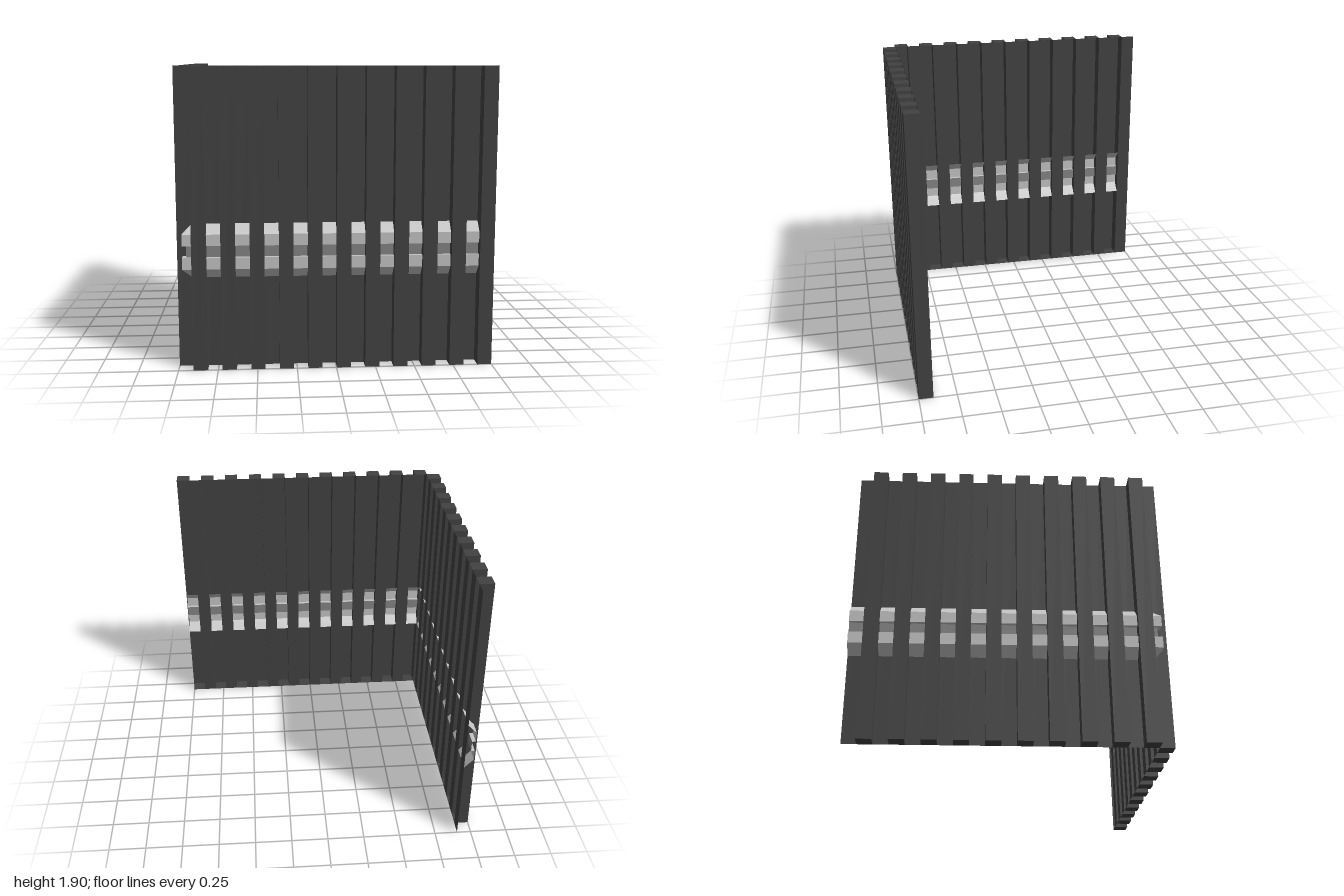
import * as THREE from 'three';

const H = 1.905;      // wall height
const IN = 0.905;     // inner plane of both walls (distance from centre)
const OUT = 1;        // outer plane of the ribs

const steel = new THREE.MeshStandardMaterial({ color: 0x424242, side: THREE.DoubleSide });
steel.name = 'dark sheet';
const light = new THREE.MeshStandardMaterial({ color: 0xc4c4c4, side: THREE.DoubleSide });
light.name = 'light rail';
const grey = new THREE.MeshStandardMaterial({ color: 0x848484, side: THREE.DoubleSide });
grey.name = 'grey channel';

// Flat shaded mesh from a list of four-cornered faces
function quadMesh(name, quads, material) {
  const pos = [];
  for (const [a, b, c, d] of quads) pos.push(...a, ...b, ...c, ...a, ...c, ...d);
  const geo = new THREE.BufferGeometry();
  geo.setAttribute('position', new THREE.Float32BufferAttribute(pos, 3));
  geo.computeVertexNormals();
  const mesh = new THREE.Mesh(geo, material);
  mesh.name = name;
  return mesh;
}

// Ribs of a wall as plan outlines: inner start, outer start, outer end, inner end
function ribOutlines(count, first, step, width, toPlan) {
  return Array.from({ length: count }, (_, i) => {
    const s = first + i * step, e = s + width;
    return [toPlan(s, IN), toPlan(s, OUT), toPlan(e, OUT), toPlan(e, IN)];
  });
}

// Corrugated sheet following the plan path, with closed rib tops and bottoms
function corrugatedWall(name, ribs, start) {
  const at = ([x, z], y) => [x, y, z];
  const path = [...start, ...ribs.flat()];
  const quads = [];
  for (let i = 0; i + 1 < path.length; i++) {
    const a = path[i], b = path[i + 1];
    if (Math.hypot(a[0] - b[0], a[1] - b[1]) < 1e-6) continue;
    quads.push([at(a, 0), at(b, 0), at(b, H), at(a, H)]);
  }
  for (const rib of ribs) {
    quads.push(rib.map(p => at(p, H)));
    quads.push([...rib].reverse().map(p => at(p, 0)));
  }
  return quadMesh(name, quads, steel);
}

// Rail band between two profile points [depth, y], mitred round the corner
function railBand([d0, y0], [d1, y1]) {
  const route = (d, y) => [
    [-IN - d, y, -1], [-IN - d, y, IN + d], [1, y, IN + d],
  ];
  const lo = route(d0, y0), hi = route(d1, y1);
  return [0, 1].map(i => [lo[i], lo[i + 1], hi[i + 1], hi[i]]);
}

export function createModel() {
  const model = new THREE.Group();
  model.name = 'corrugated corner wall';

  // Side wall: ten grooves and ten ribs
  const sw = (1 + IN) / 20;
  const sideRibs = ribOutlines(10, -1 + sw, 2 * sw, sw, (t, d) => [-d, t]);
  model.add(corrugatedWall('sideWall', sideRibs, [[-IN, -1]]));

  // Front wall: eleven ribs and ten grooves
  const fw = (1 + IN) / 21;
  const frontRibs = ribOutlines(11, -IN, 2 * fw, fw, (t, d) => [t, d]);
  model.add(corrugatedWall('frontWall', frontRibs, []));

  // Guard rail running through ribs and grooves
  const profile = [
    [0, 0.58], [0.06, 0.643], [0.06, 0.718], [0.035, 0.718],
    [0.035, 0.793], [0.06, 0.793], [0.06, 0.865], [0, 0.925],
  ];
  const railQuads = [], channelQuads = [];
  for (let i = 0; i + 1 < profile.length; i++) {
    (i === 3 ? channelQuads : railQuads).push(...railBand(profile[i], profile[i + 1]));
  }
  const rail = new THREE.Group();
  rail.name = 'rail';
  rail.add(quadMesh('railFaces', railQuads, light));
  rail.add(quadMesh('railChannel', channelQuads, grey));
  model.add(rail);

  return model;
}
